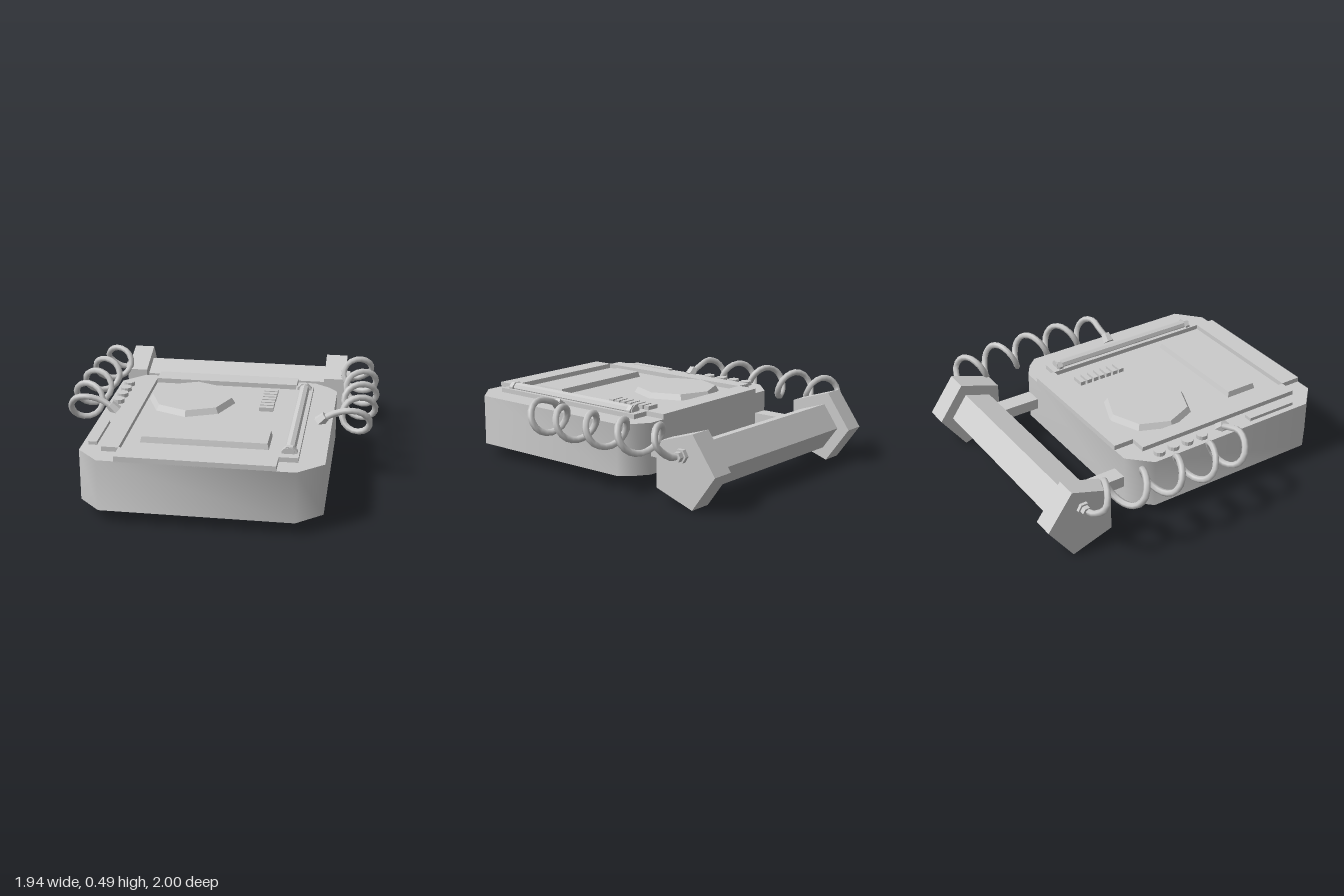
import * as THREE from 'three';
import { toCreasedNormals } from 'three/addons/utils/BufferGeometryUtils.js';

const material = new THREE.MeshStandardMaterial({ color: 0xcccccc });
const faceted = new THREE.MeshStandardMaterial({ color: 0xcccccc, flatShading: true });

export function createModel() {
  const model = new THREE.Group();

  const add = (name, geometry, mat = faceted) => {
    const mesh = new THREE.Mesh(geometry, mat);
    mesh.name = name;
    model.add(mesh);
    return mesh;
  };
  // Box given by its limits on each axis
  const box = (name, x0, x1, y0, y1, z0, z1) =>
    add(name, new THREE.BoxGeometry(x1 - x0, y1 - y0, z1 - z0))
      .position.set((x0 + x1) / 2, (y0 + y1) / 2, (z0 + z1) / 2);
  // Five-sided prism along x with one corner pointing to the back
  const prism = (name, x0, x1, radius) => {
    const s = new THREE.Shape();
    for (let i = 0; i < 5; i++) {
      const a = (i / 5) * Math.PI * 2;
      s[i ? 'lineTo' : 'moveTo'](Math.cos(a) * radius, Math.sin(a) * radius);
    }
    const g = new THREE.ExtrudeGeometry(s, { depth: x1 - x0, bevelEnabled: false });
    g.rotateY(Math.PI / 2);
    add(name, g).position.set(x0, 0.218, -0.773);
  };

  // Body with cut corners, softly shaded round the sides
  const outline = new THREE.Shape([
    [-0.57, -1], [0.55, -1], [0.7, -0.87], [0.7, 0.26], [0.64, 0.33],
    [0.55, 0.39], [-0.57, 0.39], [-0.7, 0.26], [-0.7, -0.87],
  ].map(([x, y]) => new THREE.Vector2(x, y)));
  const body = new THREE.ExtrudeGeometry(outline, { depth: 0.31, bevelEnabled: false });
  body.rotateX(-Math.PI / 2);
  body.translate(0, 0.08, 0);
  add('body', toCreasedNormals(body, 0.9), material);

  // Raised frame round the control panel
  box('frameLeftStrip', 0.44, 0.55, 0.385, 0.418, -0.26, 0.87);
  box('frameRightStrip', -0.57, -0.47, 0.385, 0.418, -0.26, 0.87);
  box('frameFrontStrip', -0.47, 0.44, 0.385, 0.42, 0.87, 1);
  box('frameBackStrip', -0.47, 0.44, 0.385, 0.42, -0.39, -0.26);

  // Eight-sided dial plate with sloped sides
  add('dialPlate', new THREE.CylinderGeometry(0.25, 0.275, 0.04, 8)).position.set(-0.19, 0.405, 0.03);

  // Display plate with a narrow sloped rim
  const display = new THREE.BoxGeometry(0.75, 0.04, 0.21);
  const p = display.attributes.position;
  for (let i = 0; i < p.count; i++) {
    if (p.getY(i) > 0) {
      p.setX(i, p.getX(i) - Math.sign(p.getX(i)) * 0.01);
      p.setZ(i, p.getZ(i) - Math.sign(p.getZ(i)) * 0.01);
    }
  }
  add('displayPlate', display).position.set(-0.005, 0.405, 0.615);

  // Row of vent ribs
  for (let i = 0; i < 7; i++) {
    const z = -0.18 + i * 0.048;
    box('ventRib', 0.245, 0.33, 0.385, 0.415, z, z + 0.034);
  }

  // Slider rod with a clamp at each end
  const rod = add('sliderRod', new THREE.CylinderGeometry(0.032, 0.032, 1.04, 8));
  rod.rotation.x = Math.PI / 2;
  rod.position.set(0.495, 0.424, 0.3);
  for (const z of [-0.2, 0.8]) {
    const clamp = add('sliderClamp', new THREE.CylinderGeometry(0.048, 0.048, 0.03, 8));
    clamp.rotation.set(Math.PI / 2, Math.PI / 8, 0);
    clamp.position.set(0.495, 0.413, z);
  }

  // Round buttons and a long key on the right edge
  for (const z of [-0.19, -0.09, 0.01, 0.115]) {
    add('button', new THREE.CylinderGeometry(0.035, 0.035, 0.03, 12)).position.set(-0.64, 0.4, z);
  }
  box('longKey', -0.665, -0.615, 0.385, 0.41, 0.46, 0.79);

  // Handle: two arms, a grip and end caps
  box('handleArm', -0.57, -0.47, 0.19, 0.26, -0.7, -0.38);
  box('handleArm', 0.44, 0.55, 0.19, 0.26, -0.7, -0.38);
  prism('handleGrip', -0.62, 0.61, 0.147);
  prism('handleCap', -0.74, -0.61, 0.227);
  prism('handleCap', 0.595, 0.735, 0.227);

  // Coiled cords running from the handle caps to the body
  for (const side of [-1, 1]) {
    const points = [
      new THREE.Vector3(side * 0.75, 0.305, -0.775),
      new THREE.Vector3(side * 0.82, 0.31, -0.76),
    ];
    const pitch = 0.235;
    for (let i = 0; i <= 34; i++) {
      const z = -0.73 + (i / 8) * pitch;
      const a = (i / 8) * Math.PI * 2;
      const axis = 0.85 - 0.045 * Math.max(0, 1 - i / 10) - 0.04 * Math.max(0, (i - 28) / 6);
      points.push(new THREE.Vector3(
        side * (axis + 0.1 * Math.cos(a)), 0.385 + 0.088 * Math.sin(a), Math.min(z, 0.26)));
    }
    points.push(new THREE.Vector3(side * 0.72, 0.452, 0.255));
    points.push(new THREE.Vector3(side * 0.645, 0.415, 0.265));
    const path = new THREE.CatmullRomCurve3(points);
    add('coiledCord', new THREE.TubeGeometry(path, 84, 0.02, 6), material);

    // Plugs at both cord ends
    for (const [x, r, length] of [[0.745, 0.042, 0.03], [0.77, 0.03, 0.04]]) {
      const plug = add('handlePlug', new THREE.CylinderGeometry(r, r, length, 6));
      plug.rotation.z = Math.PI / 2;
      plug.position.set(side * x, 0.305, -0.775);
    }
    const socket = add('bodyPlug', new THREE.CylinderGeometry(0.03, 0.038, 0.06, 6));
    socket.rotation.z = -side * 0.8;
    socket.position.set(side * 0.64, 0.412, 0.268);
  }

  return model;
}
